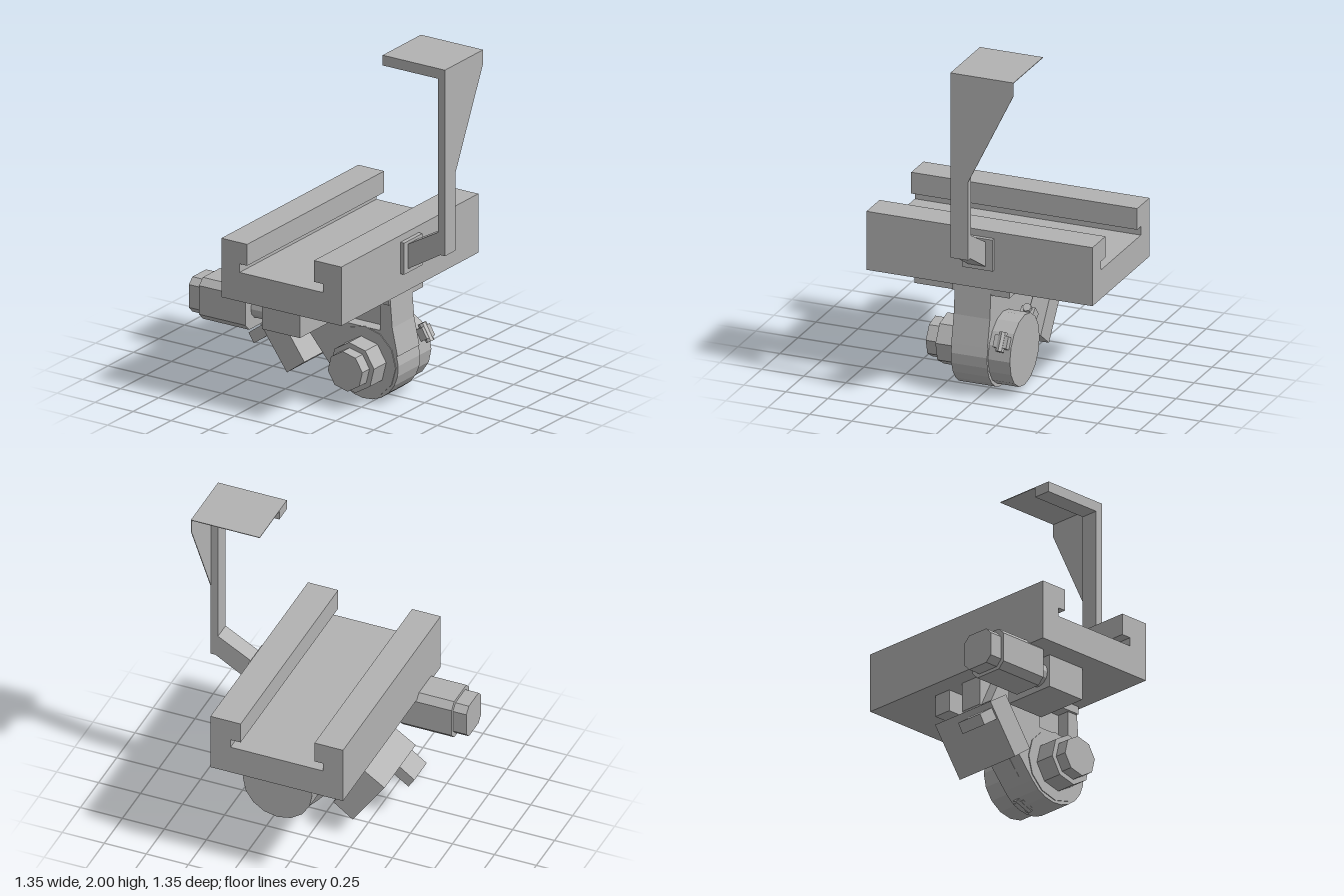
import * as THREE from 'three';

export function createModel() {
  const model = new THREE.Group();
  const grey = new THREE.MeshStandardMaterial({ color: 0xb2b2b2, flatShading: true });
  grey.name = 'plain grey';
  grey.side = THREE.DoubleSide;

  const add = (name, geo, x = 0, y = 0, z = 0) => {
    const m = new THREE.Mesh(geo, grey);
    m.name = name;
    m.position.set(x, y, z);
    model.add(m);
    return m;
  };
  const shapeOf = pts => new THREE.Shape(pts.map(p => new THREE.Vector2(p[0], p[1])));
  // Extrude an x,y outline between two z values
  const slab = (name, pts, z0, z1) => add(name,
    new THREE.ExtrudeGeometry(shapeOf(pts), { depth: z1 - z0, bevelEnabled: false }), 0, 0, z0);
  // Box given by its limits
  const box = (name, x0, x1, y0, y1, z0, z1) => add(name,
    new THREE.BoxGeometry(x1 - x0, y1 - y0, z1 - z0), (x0 + x1) / 2, (y0 + y1) / 2, (z0 + z1) / 2);
  // Prism along z
  const drum = (name, r, sides, x, y, z0, z1, turn = 0) => add(name,
    new THREE.CylinderGeometry(r, r, z1 - z0, sides).rotateY(turn).rotateX(Math.PI / 2), x, y, (z0 + z1) / 2);

  // Slotted rail
  slab('rail', [[-0.39, 0.64], [0.4, 0.64], [0.4, 0.985], [0.22, 0.985], [0.22, 0.86], [0.28, 0.86],
    [0.28, 0.81], [-0.27, 0.81], [-0.27, 0.86], [-0.22, 0.86], [-0.22, 0.985], [-0.39, 0.985]], -0.675, 0.67);

  // Cranked arm with pad and thin flared sheets
  box('armPad', 0.4, 0.425, 0.76, 0.945, -0.09, 0.09);
  slab('arm', [[0.42, 0.78], [0.64, 0.91], [0.67, 0.91], [0.67, 2], [0.26, 2], [0.26, 1.94],
    [0.625, 1.94], [0.625, 1.04], [0.42, 0.925]], -0.05, 0.055);
  box('topSheet', 0.26, 0.67, 1.996, 2, -0.32, -0.05);
  const flare = new THREE.ExtrudeGeometry(shapeOf([[0.05, 1.37], [0.32, 1.92], [0.32, 2], [0.05, 2]]),
    { depth: 0.004, bevelEnabled: false }).rotateY(Math.PI / 2);
  add('flareSheet', flare, 0.666, 0, 0);

  // Hanger: lower edge follows the round hub
  const cx = 0.21, cy = 0.23, R = 0.22;
  const arc = [];
  for (let i = 0; i <= 10; i++) {
    const a = THREE.MathUtils.degToRad(218 + i * 16.2);
    arc.push([cx + R * Math.cos(a), cy + R * Math.sin(a)]);
  }
  slab('hangerCore', [[-0.29, 0.64], [-0.29, 0.47], ...arc, [0.425, 0.3], [0.39, 0.46], [0.375, 0.64]], -0.06, 0.08);
  slab('hangerFace', [[0, 0.64], [-0.2, 0.64], [-0.28, 0.47], ...arc, [0.425, 0.3], [0.39, 0.46],
    [0.375, 0.64], [0.31, 0.64], [0.31, 0.43], [0.09, 0.43], [0.09, 0.64]], 0.08, 0.155);
  box('hangerFlange', -0.06, 0.375, 0.595, 0.64, -0.17, 0.17);

  // Hub: rear drum and stepped front boss
  drum('rearDrum', 0.206, 16, cx, cy + 0.005, -0.19, -0.06);
  drum('hubRim', 0.205, 12, cx, cy, 0.15, 0.16);
  drum('bossBase', 0.145, 8, cx, cy, 0.155, 0.28, 0.15);
  drum('bossTip', 0.115, 8, cx, cy, 0.28, 0.35, 0.15);

  // Clamp bolts spaced around the drum
  for (const deg of [30, 140, 250]) {
    const a = THREE.MathUtils.degToRad(deg);
    const bolt = new THREE.Group();
    bolt.name = 'clampBolt';
    const lug = new THREE.Mesh(new THREE.BoxGeometry(0.045, 0.07, 0.08), grey);
    const pin = new THREE.Mesh(new THREE.CylinderGeometry(0.025, 0.025, 0.11, 8), grey);
    lug.name = 'lug';
    pin.name = 'pin';
    lug.position.x = 0.006;
    pin.position.x = 0.012;
    bolt.add(lug, pin);
    const r = deg === 250 ? 0.19 : 0.225;
    bolt.position.set(cx + r * Math.cos(a), cy + r * Math.sin(a), deg === 250 ? -0.02 : -0.14);
    bolt.rotation.z = a;
    model.add(bolt);
  }

  // Tilted drive box and its side knob
  slab('tiltedBox', [[-0.41, 0.38], [-0.22, 0.11], [-0.105, 0.195], [-0.29, 0.46]], -0.15, 0.28);
  slab('tiltedKnob', [[-0.48, 0.285], [-0.445, 0.23], [-0.33, 0.31], [-0.37, 0.365]], 0.1, 0.27);

  // Side motor: chamfered blocks along x, neck and mounting block
  const motor = (name, x0, x1, h, c) => {
    const k = h - c;
    const g = new THREE.ExtrudeGeometry(shapeOf([[-k, -h], [k, -h], [h, -k], [h, k], [k, h], [-k, h], [-h, k], [-h, -k]]),
      { depth: x1 - x0, bevelEnabled: false }).rotateY(Math.PI / 2);
    add(name, g, x0, 0.548, 0.455);
  };
  motor('motorCap', -0.68, -0.6, 0.102, 0.035);
  motor('motorBody', -0.6, -0.295, 0.121, 0.037);
  add('motorNeck', new THREE.CylinderGeometry(0.068, 0.068, 0.1, 12).rotateZ(Math.PI / 2), -0.25, 0.543, 0.455);
  box('motorMount', -0.21, 0.04, 0.45, 0.64, 0.22, 0.54);

  // Small block under the rail at the rear
  box('rearBlock', -0.28, 0, 0.515, 0.64, -0.28, -0.17);

  return model;
}
